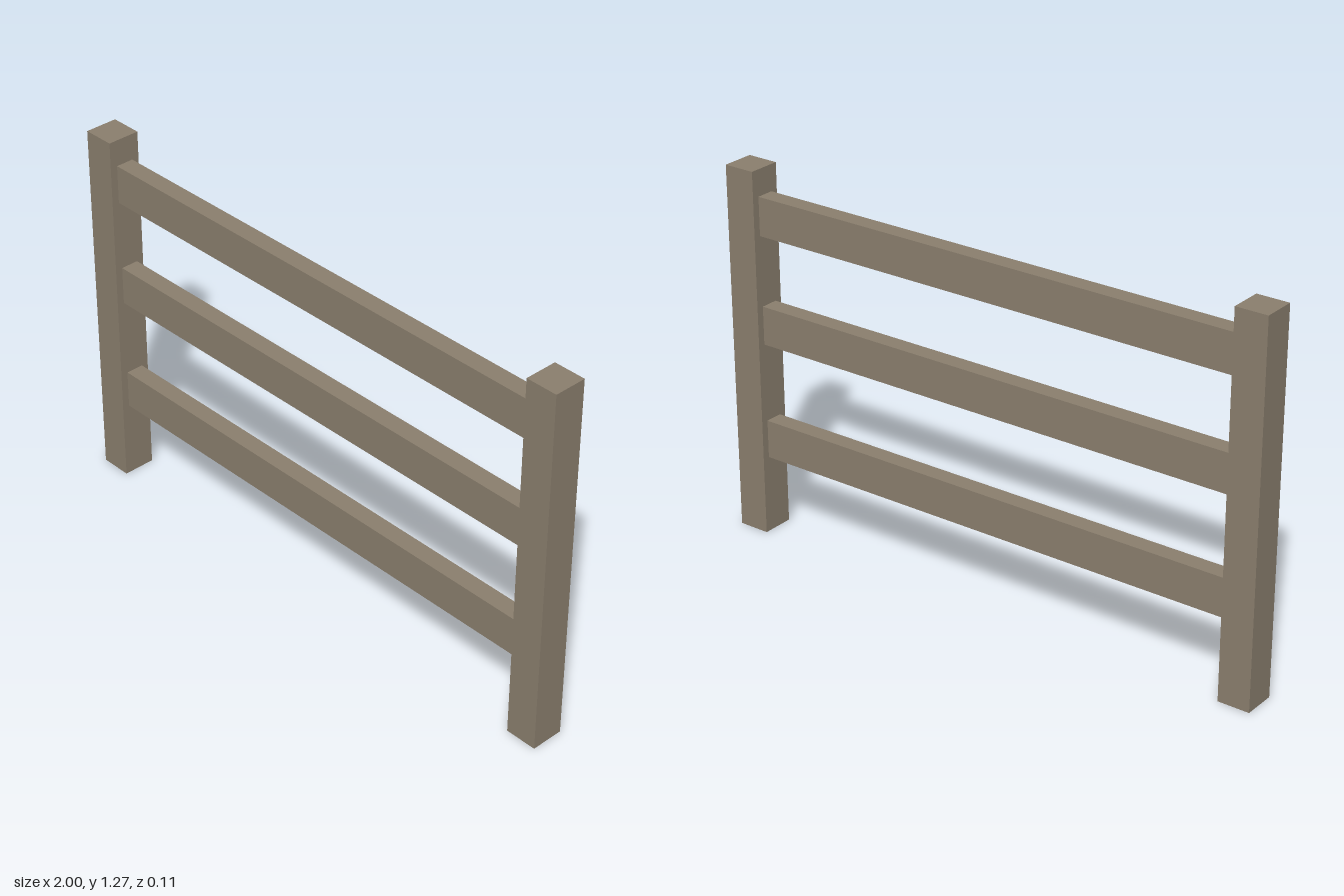
import * as THREE from 'three';

export function createModel() {
  const fence = new THREE.Group();
  fence.name = 'fence';
  const wood = new THREE.MeshStandardMaterial({ color: 0x8b7f6e });
  wood.name = 'weathered wood';

  const postWidth = 0.11, postHeight = 1.275, postDepth = 0.113;
  const railHeight = 0.133, railDepth = 0.062;

  function addBeam(name, width, height, depth, x, y) {
    const beam = new THREE.Mesh(new THREE.BoxGeometry(width, height, depth), wood);
    beam.name = name;
    beam.position.set(x, y, 0);
    fence.add(beam);
  }

  // Upright posts at both ends
  for (const [name, side] of [['leftPost', 1], ['rightPost', -1]]) {
    addBeam(name, postWidth, postHeight, postDepth, side * (1 - postWidth / 2), postHeight / 2);
  }

  // Horizontal rails fitted between the posts
  const rails = [['lowerRail', 0.336], ['middleRail', 0.742], ['upperRail', 1.118]];
  for (const [name, y] of rails) {
    addBeam(name, 2 - 2 * postWidth, railHeight, railDepth, 0, y);
  }

  return fence;
}
